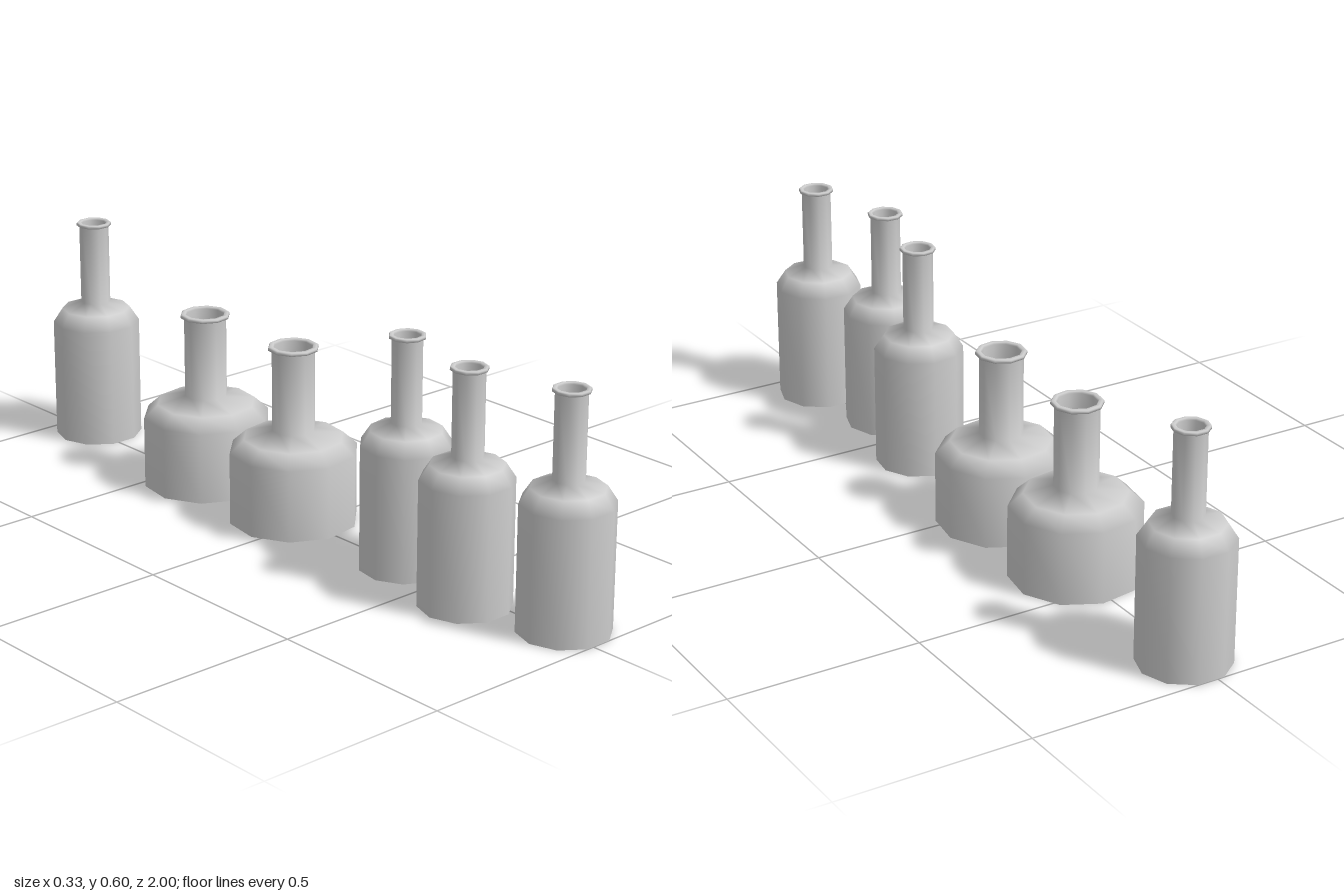
import * as THREE from 'three';

const SIDES = 10;

// Outer wall from the open base up over the lip and down inside the neck: [radius, height]
const tallProfile = [
  [0.1165, 0], [0.1165, 0.322], [0.0915, 0.36], [0.0395, 0.379], [0.0395, 0.591],
  [0.0465, 0.594], [0.0465, 0.6], [0.044, 0.602], [0.036, 0.602], [0.034, 0.597], [0.034, 0.56],
];
const squatProfile = [
  [0.167, 0], [0.167, 0.19], [0.13, 0.224], [0.056, 0.243], [0.056, 0.455],
  [0.065, 0.458], [0.065, 0.464], [0.062, 0.467], [0.053, 0.467], [0.05, 0.462], [0.05, 0.425],
];

// Row of bottles from front to back, turn in degrees
const bottles = [
  { name: 'tallBottle1', profile: tallProfile, x: 0.018, z: 0.889, turn: 0 },
  { name: 'tallBottle2', profile: tallProfile, x: -0.052, z: 0.63, turn: 0 },
  { name: 'tallBottle3', profile: tallProfile, x: 0, z: 0.366, turn: 9 },
  { name: 'squatBottle1', profile: squatProfile, x: 0.001, z: -0.05, turn: 9 },
  { name: 'squatBottle2', profile: squatProfile, x: 0.001, z: -0.398, turn: 9 },
  { name: 'tallBottle4', profile: tallProfile, x: 0.018, z: -0.889, turn: 0 },
];

export function createModel() {
  const group = new THREE.Group();
  group.name = 'bottleRow';
  const material = new THREE.MeshStandardMaterial({ color: 0xcccccc, side: THREE.DoubleSide });

  for (const { name, profile, x, z, turn } of bottles) {
    const points = profile.map(([r, y]) => new THREE.Vector2(r, y));
    const start = Math.PI / 2 + THREE.MathUtils.degToRad(turn);
    const bottle = new THREE.Mesh(new THREE.LatheGeometry(points, SIDES, start), material);
    bottle.name = name;
    bottle.position.set(x, 0, z);
    group.add(bottle);
  }
  return group;
}
